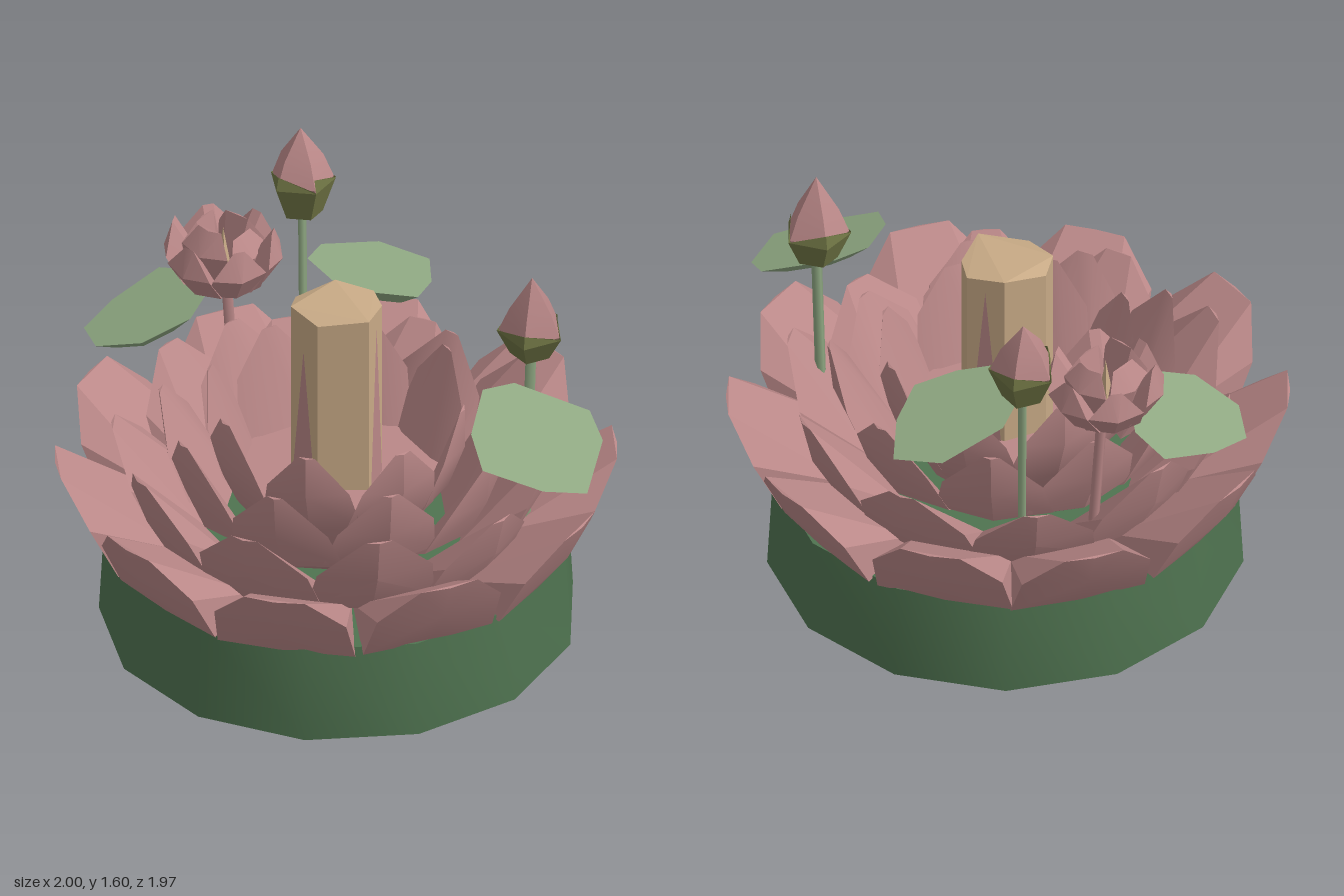
import * as THREE from 'three';
import { toCreasedNormals } from 'three/addons/utils/BufferGeometryUtils.js';
import { ConvexGeometry } from 'three/addons/geometries/ConvexGeometry.js';

const mat = (name, color, extra = {}) => {
  const m = new THREE.MeshStandardMaterial({ color, ...extra });
  m.name = name;
  return m;
};

export function createModel() {
  const root = new THREE.Group();
  root.name = 'lotusCandle';
  const pink = mat('dustyPink', 0xba8888, { side: THREE.DoubleSide });
  const darkGreen = mat('darkGreen', 0x4f7350);
  const leafGreen = mat('leafGreen', 0x8fa882);
  const olive = mat('oliveSepal', 0x6f7444, { side: THREE.DoubleSide, flatShading: true });
  const wax = mat('wax', 0xc8aa86, { flatShading: true });

  let seed = 7;
  const jitter = (a) => {
    seed = (seed * 16807) % 2147483647;
    return (seed / 2147483647 - 0.5) * 2 * a;
  };
  const add = (name, geo, material, parent = root) => {
    const m = new THREE.Mesh(geo, material);
    m.name = name;
    parent.add(m);
    return m;
  };
  const lathe = (pts, n) => new THREE.LatheGeometry(pts.map((p) => new THREE.Vector2(...p)), n);
  const vec = (x, y, z) => new THREE.Vector3(x, y, z);

  // Thick faceted petal: cross-sections [radius, height, half width, edge inset], flat inside and bulged outside
  function petalGeometry(sections) {
    const pts = [];
    for (const [r, y, w, inset] of sections) {
      pts.push(vec(r - inset, y + inset * 0.3, -w), vec(r, y, 0), vec(r - inset, y + inset * 0.3, w));
    }
    return toCreasedNormals(new ConvexGeometry(pts), 0.4);
  }

  // Ring of petals spread about a vertical axis
  function petalRing(name, n, startDeg, profile, wob, parent = root) {
    const ring = new THREE.Group();
    ring.name = name;
    for (let i = 0; i < n; i++) {
      const last = profile.length - 1, dy = jitter(wob);
      const secs = profile.map(([r, y, w, c], k) => [r, y + dy * (k / last), w, c]);
      const p = add('petal', petalGeometry(secs), pink, ring);
      p.rotation.y = -(THREE.MathUtils.degToRad(startDeg) + (i * Math.PI * 2) / n + jitter(wob));
    }
    parent.add(ring);
  }

  // Round base with a bevelled underside
  const base = add('base', toCreasedNormals(
    lathe([[0, 0], [0.68, 0.005], [0.85, 0.04], [0.83, 0.41], [0, 0.41]], 13), 0.6), darkGreen);
  base.rotation.y = 0.2;
  base.position.x = 0.01;

  // Four rings of petals, outer to inner
  petalRing('outerPetals', 10, 2,
    [[0.56, 0.44, 0.18, 0.01], [0.81, 0.39, 0.25, 0.01], [0.94, 0.57, 0.24, 0.04], [1.0, 0.72, 0.11, 0.01]], 0.025);
  petalRing('secondPetals', 10, 14,
    [[0.48, 0.46, 0.15, 0.02], [0.66, 0.46, 0.23, 0.04], [0.76, 0.63, 0.21, 0.05], [0.8, 0.8, 0.05, 0.01]], 0.04);
  petalRing('thirdPetals', 9, 0,
    [[0.4, 0.47, 0.13, 0.02], [0.54, 0.56, 0.21, 0.05], [0.62, 0.73, 0.18, 0.05], [0.64, 0.91, 0.03, 0.01]], 0.05);
  petalRing('innerPetals', 8, 22,
    [[0.32, 0.52, 0.12, 0.02], [0.41, 0.64, 0.18, 0.04], [0.47, 0.81, 0.15, 0.04], [0.47, 0.97, 0.03, 0.01]], 0.025);
  const floor = add('flowerCentre', new THREE.CylinderGeometry(0.38, 0.3, 0.15, 12), pink);
  floor.position.y = 0.55;

  // Uneven seven-sided candle with pointed pink panels on three faces
  const rim = [[0.165, 0], [0.1, 0.13], [-0.08, 0.105], [-0.16, -0.01], [-0.13, -0.1], [0.02, -0.16], [0.15, -0.1]];
  const candle = new THREE.Group();
  candle.name = 'candle';
  root.add(candle);
  add('candleBody', new ConvexGeometry(rim.flatMap(([x, z], i) =>
    [vec(x, 0.6, z), vec(x, i % 2 ? 1.335 : 1.315, z)])), wax, candle);
  for (const [side, tip] of [[0, 1.27], [2, 1.18], [5, 1.27]]) {
    const [ax, az] = rim[side], [bx, bz] = rim[side + 1];
    const half = Math.hypot(bx - ax, bz - az) * 0.42;
    const spike = new THREE.Shape([
      new THREE.Vector2(-half, 0.62), new THREE.Vector2(half, 0.62), new THREE.Vector2(0, tip)]);
    const plate = add('candlePanel', new THREE.ShapeGeometry(spike), pink, candle);
    plate.rotation.y = Math.atan2(bz - az, ax - bx);
    plate.position.set((ax + bx) / 2, 0, (az + bz) / 2);
    plate.translateZ(0.004);
  }

  // Straight stem between two points
  function stem(name, from, to, radius, material) {
    add(name, new THREE.TubeGeometry(new THREE.LineCurve3(vec(...from), vec(...to)), 1, radius, 5), material);
  }

  // Faceted bud with a zigzag sepal cup
  function bud(name, x, y, z, widest, lean, turn) {
    const g = new THREE.Group();
    g.name = name;
    add('budPetals', toCreasedNormals(
      lathe([[0, 0.02], [0.06, 0.04], [0.116, widest], [0.08, widest + 0.09], [0, 0.365]], 5), 0.3), pink, g);
    const cup = lathe([[0, 0], [0.075, 0.03], [0.122, widest - 0.01], [0.11, widest + 0.04]], 5);
    const p = cup.attributes.position;
    for (let i = 3; i < p.count; i += 4) {
      // alternate rim corners drop to the widest line
      if (((i - 3) / 4) % 2) p.setXYZ(i, p.getX(i) * 1.12, widest - 0.005, p.getZ(i) * 1.12);
    }
    add('sepals', cup, olive, g);
    g.position.set(x, y, z);
    g.rotation.set(lean, turn, 0);
    root.add(g);
  }
  bud('backBud', -0.02, 1.235, -0.715, 0.165, -0.1, 0.3);
  stem('backBudStem', [-0.02, 0.45, -0.67], [-0.02, 1.26, -0.715], 0.016, leafGreen);
  bud('sideBud', 0.67, 1.17, 0.19, 0.14, 0.1, 0.9);
  stem('sideBudStem', [0.65, 0.45, 0.18], [0.67, 1.19, 0.19], 0.02, leafGreen);

  // Small half-open flower on a stem
  const flower = new THREE.Group();
  flower.name = 'smallFlower';
  petalRing('flowerOuterPetals', 6, 20,
    [[0.02, 0.0, 0.02, 0], [0.15, 0.03, 0.1, 0.03], [0.215, 0.13, 0.1, 0.03], [0.18, 0.24, 0.02, 0]], 0.02, flower);
  petalRing('flowerInnerPetals', 4, 45,
    [[0.03, 0.02, 0.02, 0], [0.11, 0.06, 0.1, 0.03], [0.14, 0.17, 0.1, 0.03], [0.09, 0.25, 0.05, 0.01]], 0.02, flower);
  const core = add('flowerCore', new THREE.ConeGeometry(0.09, 0.24, 4), wax, flower);
  core.scale.x = 0.45;
  core.position.y = 0.12;
  flower.position.set(-0.32, 1.07, -0.59);
  root.add(flower);
  stem('flowerStem', [-0.27, 0.45, -0.58], [-0.31, 1.1, -0.59], 0.02, pink);

  // Lily leaf: flat tilted top over a shallow bowl; outline in x, z
  function leaf(name, outline, y, slopeX, slopeZ, depth) {
    const n = outline.length;
    const cx = outline.reduce((t, p) => t + p[0], 0) / n;
    const cz = outline.reduce((t, p) => t + p[1], 0) / n;
    const height = (x, z) => y + slopeX * (x - cx) + slopeZ * (z - cz);
    const pts = [];
    for (const [x, z] of outline) {
      const bx = cx + (x - cx) * 0.6, bz = cz + (z - cz) * 0.6;
      pts.push(vec(x, height(x, z), z), vec(bx, height(bx, bz) - depth, bz));
    }
    add(name, new ConvexGeometry(pts), leafGreen);
  }
  leaf('frontLeaf', [[0.41, 0.52], [0.48, 0.32], [0.6, 0.27], [0.86, 0.34], [0.89, 0.46],
    [0.8, 0.7], [0.64, 0.72], [0.43, 0.67]], 1.03, -0.27, -0.36, 0.055);
  leaf('backRightLeaf', [[-0.02, -0.58], [0.05, -0.72], [0.27, -0.82], [0.44, -0.74],
    [0.42, -0.55], [0.35, -0.4], [0.2, -0.38], [0.06, -0.4]], 1.09, -0.28, 0.12, 0.07);
  leaf('backLeftLeaf', [[-0.82, -0.58], [-0.7, -0.7], [-0.52, -0.8], [-0.42, -0.7],
    [-0.4, -0.48], [-0.47, -0.36], [-0.65, -0.32], [-0.8, -0.42]], 1.02, 0.36, 0.1, 0.07);

  return root;
}
